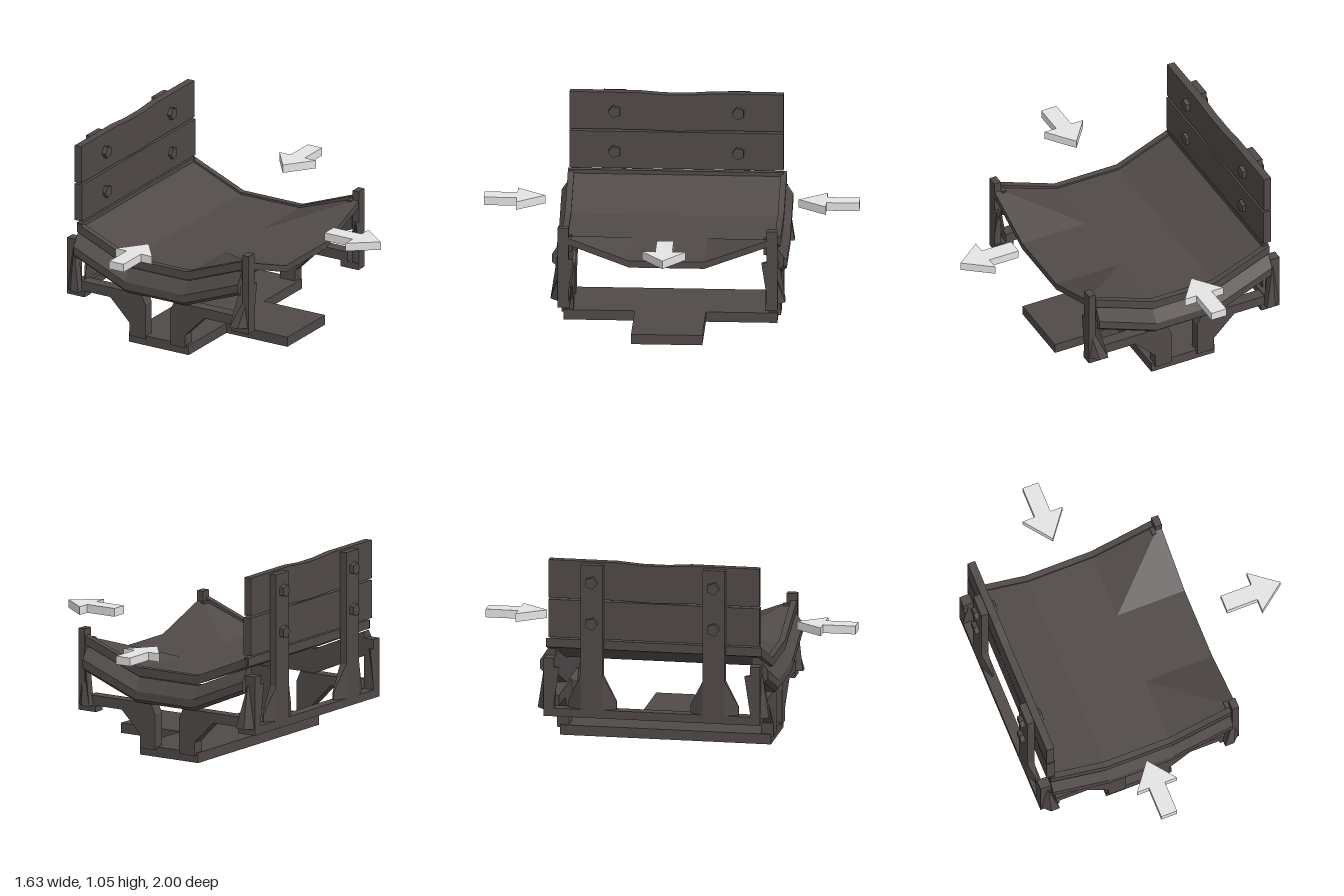
import * as THREE from 'three';

const wood = new THREE.MeshStandardMaterial({ color: 0x504a48 });
wood.name = 'darkWood';
const grey = new THREE.MeshStandardMaterial({ color: 0xe4e4e4 });
grey.name = 'lightGrey';

export function createModel() {
  const model = new THREE.Group();
  model.name = 'loadingTray';

  const add = (name, geo, mat = wood) => {
    const mesh = new THREE.Mesh(geo, mat);
    mesh.name = name;
    model.add(mesh);
    return mesh;
  };
  // box given by its limits on each axis
  const box = (name, x0, x1, y0, y1, z0, z1) =>
    add(name, new THREE.BoxGeometry(x1 - x0, y1 - y0, z1 - z0)
      .translate((x0 + x1) / 2, (y0 + y1) / 2, (z0 + z1) / 2));
  const extrude = (pts, depth) => new THREE.ExtrudeGeometry(
    new THREE.Shape(pts.map(p => new THREE.Vector2(...p))), { depth, bevelEnabled: false });
  // outline in (z, y), spanning x0..x1
  const sideSlab = (name, pts, x0, x1) =>
    add(name, extrude(pts, x1 - x0).rotateY(-Math.PI / 2).translate(x1, 0, 0));
  const fromTriangles = tris => {
    const geo = new THREE.BufferGeometry();
    geo.setAttribute('position', new THREE.Float32BufferAttribute(tris.flat(2), 3));
    geo.computeVertexNormals();
    return geo;
  };
  // convex (z, y) profile carried along stations [x, rise]
  const sweep = (name, profile, stations, side, shift) => {
    const prof = profile.map(([z, y]) => [z * side + shift, y]);
    if (side < 0) prof.reverse();
    const rings = stations.map(([x, r]) => prof.map(([z, y]) => [x, y + r, z]));
    const n = prof.length, tris = [];
    for (let k = 0; k < rings.length - 1; k++)
      for (let i = 0; i < n; i++) {
        const j = (i + 1) % n, a = rings[k], b = rings[k + 1];
        tris.push([a[i], b[i], b[j]], [a[i], b[j], a[j]]);
      }
    const first = rings[0], last = rings[rings.length - 1];
    for (let i = 1; i < n - 1; i++)
      tris.push([first[0], first[i], first[i + 1]], [last[0], last[i + 1], last[i]]);
    return add(name, fromTriangles(tris));
  };

  // tray floor: raised at the back and at the two front corners
  const xs = [-0.73, -0.41, -0.04, 0.345], zs = [-0.56, -0.2, 0.2, 0.56];
  const rise = (i, j) => (i === 0 || (i === 3 && (j === 0 || j === 3)) ? 0.135 : 0);
  const top = (i, j) => [xs[i], 0.467 + rise(i, j), zs[j]];
  const low = (i, j) => [xs[i], 0.43 + rise(i, j), zs[j]];
  const tris = [];
  for (let i = 0; i < 3; i++)
    for (let j = 0; j < 3; j++) {
      const c = [[i, j], [i, j + 1], [i + 1, j + 1], [i + 1, j]];
      const split = j === 0 ? [[0, 1, 3], [1, 2, 3]] : [[0, 1, 2], [0, 2, 3]];
      for (const [a, b, d] of split) {
        tris.push([top(...c[a]), top(...c[b]), top(...c[d])]);
        tris.push([low(...c[a]), low(...c[d]), low(...c[b])]);
      }
    }
  const wall = (p, q) => tris.push(
    [top(...p), low(...p), low(...q)], [top(...p), low(...q), top(...q)]);
  for (let k = 0; k < 3; k++) {
    wall([k, 3], [k + 1, 3]);
    wall([k + 1, 0], [k, 0]);
    wall([3, k + 1], [3, k]);
    wall([0, k], [0, k + 1]);
  }
  add('trayFloor', fromTriangles(tris));
  box('trayBackRim', -0.735, -0.705, 0.565, 0.613, -0.57, 0.57);

  // base plate with its front tongue
  box('basePlate', -0.41, -0.035, 0, 0.055, -0.57, 0.57);
  box('baseTongue', -0.035, 0.347, 0, 0.055, -0.19, 0.19);
  box('backBeam', -0.79, -0.73, 0.2, 0.245, -0.575, 0.575);

  const bendTo = x1 => [[-0.73, 0.135], [-0.41, 0], [-0.04, 0], [x1, 0.13]];
  const shift = -0.004; // the side frames sit slightly off centre
  for (const s of [1, -1]) {
    const zr = (a, b) => (s > 0 ? [a + shift, b + shift] : [-b + shift, -a + shift]);

    // bent rim and chamfered rail along each side
    sweep('sideRim', [[0.55, 0.43], [0.583, 0.43], [0.583, 0.478], [0.55, 0.478]], bendTo(0.305), s, shift);
    sweep('sideRail', [[0.53, 0.29], [0.595, 0.29], [0.617, 0.31], [0.617, 0.355],
      [0.572, 0.423], [0.53, 0.423]], bendTo(0.3), s, shift);

    // arms with legs down to the base
    const z0 = zr(0.52, 0.585)[0];
    add('backLegBracket', extrude([[-0.7, 0.235], [-0.52, 0.235], [-0.4, 0.115], [-0.4, 0.04],
      [-0.3, 0.04], [-0.3, 0.235], [-0.325, 0.29], [-0.7, 0.29]], 0.065).translate(0, 0, z0));
    add('frontLegBracket', extrude([[-0.145, 0.04], [-0.05, 0.04], [-0.05, 0.115], [0.07, 0.235],
      [0.28, 0.235], [0.28, 0.29], [-0.12, 0.29], [-0.145, 0.235]], 0.065).translate(0, 0, z0));

    // corner posts and feet
    box('frontPost', 0.308, 0.347, 0.2, 0.645, ...zr(0.527, 0.585));
    box('backPost', -0.79, -0.73, 0.2, 0.52, ...zr(0.53, 0.585));
    box('cornerBlock', 0.285, 0.31, 0.5, 0.592, ...zr(0.51, 0.575));
    box('frontFoot', 0.237, 0.347, 0.2, 0.237, ...zr(0.52, 0.585));
    box('backFoot', -0.79, -0.68, 0.2, 0.237, ...zr(0.52, 0.585));

    // leaning braces, cut off diagonally at the outer corner
    const brace = (name, dir, xe) => {
      const at = d => xe - dir * d;
      const geo = extrude([[at(0.095), 0.235], [at(0.045), 0.235], [at(0), 0.235],
        [at(0), 0.47], [at(0.045), 0.47]], 0.045);
      const p = geo.attributes.position;
      for (let i = 0; i < p.count; i++) {
        const cut = Math.max(0, 0.045 - Math.abs(p.getX(i) - xe));
        const lean = (0.47 - p.getY(i)) * 0.15 - cut;
        p.setZ(i, p.getZ(i) + zr(0.545, 0.59)[0] + s * lean);
      }
      geo.computeVertexNormals();
      add(name, geo);
    };
    brace('frontBrace', 1, 0.347);
    brace('backBrace', -1, -0.79);

    // backboard upright with a flared foot that thins towards its sides
    const c = 0.33 * s;
    box('backUpright', -0.79, -0.75, 0.245, 1.04, c - 0.06, c + 0.06);
    for (const d of [1, -1]) {
      const pts = [[c + d * 0.06, 0.245], [c + d * 0.13, 0.245], [c + d * 0.13, 0.29], [c + d * 0.06, 0.43]];
      const geo = sideSlab('uprightFlare', pts, -0.79, -0.75).geometry;
      const p = geo.attributes.position;
      for (let i = 0; i < p.count; i++)
        if (Math.abs(p.getZ(i) - c) > 0.1 && p.getX(i) < -0.77) p.setX(i, -0.757);
      geo.computeVertexNormals();
    }
    // bolts through the planks
    for (const y of [0.72, 0.945])
      add('bolt', new THREE.CylinderGeometry(0.035, 0.035, 0.13, 5).toNonIndexed()
        .rotateZ(Math.PI / 2).translate(-0.75, y, c)).geometry.computeVertexNormals();
  }

  // worn backboard planks
  sideSlab('lowerPlank', [[-0.57, 0.625], [0.57, 0.625], [0.57, 0.832], [-0.57, 0.832]], -0.75, -0.703);
  sideSlab('upperPlank', [[-0.57, 0.842], [-0.2, 0.842], [0, 0.835], [0.2, 0.842], [0.57, 0.842],
    [0.57, 1.05], [0.2, 1.05], [0.07, 1.04], [-0.07, 1.04], [-0.2, 1.05], [-0.57, 1.05]], -0.75, -0.708);

  // floating direction arrows
  const arrowGeo = extrude([[0, -0.045], [0.175, -0.045], [0.175, -0.115], [0.325, 0],
    [0.175, 0.115], [0.175, 0.045], [0, 0.045]], 0.045).rotateX(-Math.PI / 2);
  for (const [name, x, z, turn] of [['outArrow', 0.49, 0, 0],
    ['frontInArrow', -0.22, 1, Math.PI / 2], ['backInArrow', -0.22, -1, -Math.PI / 2]]) {
    const arrow = add(name, arrowGeo, grey);
    arrow.position.set(x, 0.588, z);
    arrow.rotation.y = turn;
  }
  return model;
}
